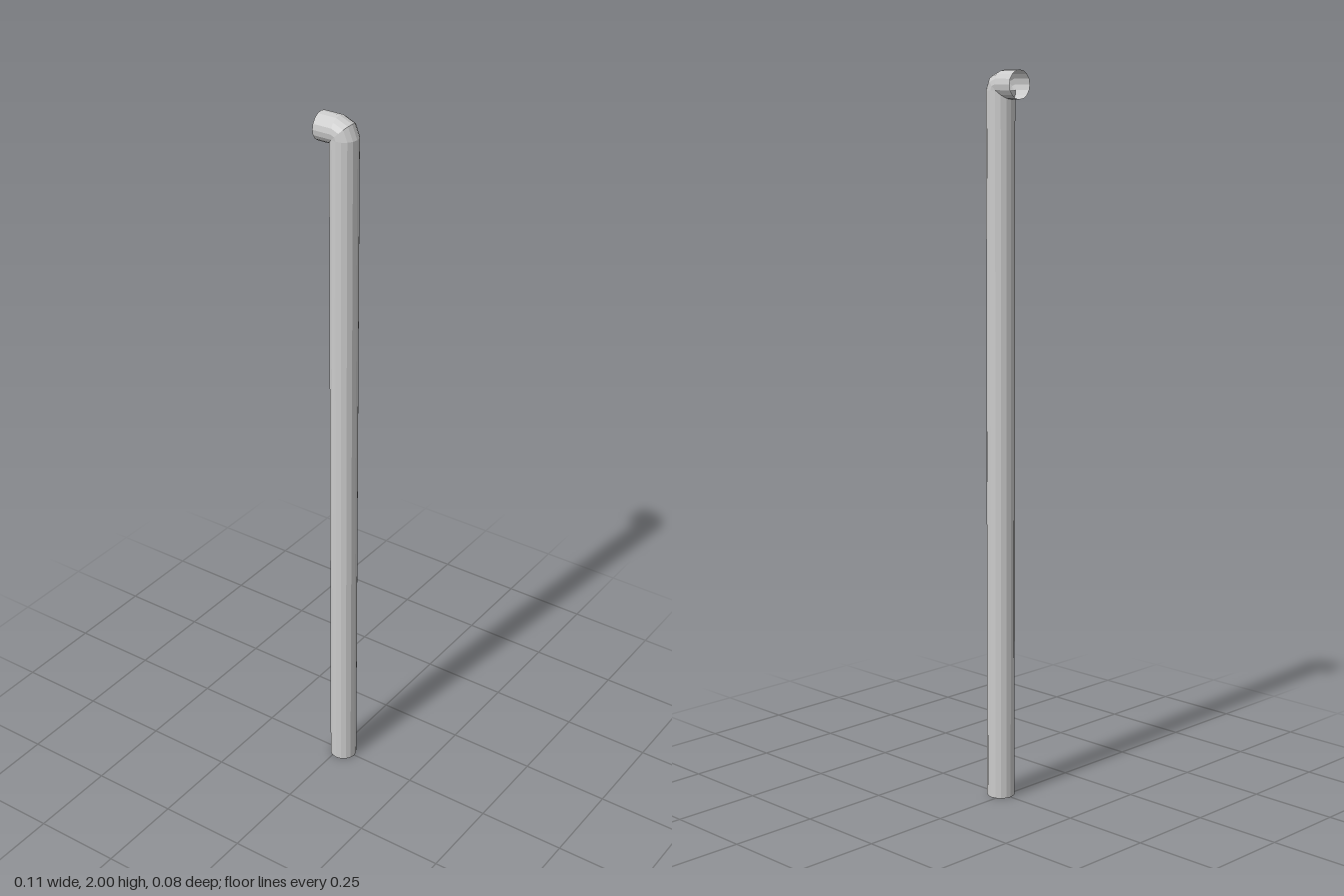
import * as THREE from 'three';

const SIDES = 16;
const R = 0.0385;      // pipe radius
const BEND = 0.015;    // bend radius of the elbow's centre line
const TOP = 2 - R - BEND; // height where the bend begins

export function createModel() {
  const group = new THREE.Group();
  group.name = 'bentPipe';
  const material = new THREE.MeshStandardMaterial({
    color: 0xcccccc, flatShading: true, side: THREE.DoubleSide,
  });
  const add = (name, geometry) => {
    const mesh = new THREE.Mesh(geometry, material);
    mesh.name = name;
    group.add(mesh);
    return mesh;
  };

  // long upright, open at the foot
  add('uprightPipe', new THREE.CylinderGeometry(R, R, TOP, SIDES, 1, true))
    .position.set(BEND, TOP / 2, 0);

  // quarter-turn elbow in two segments
  add('elbow', new THREE.TorusGeometry(BEND, R, SIDES, 2, Math.PI / 2))
    .position.set(0, TOP, 0);

  // short open outlet pointing to -x
  const outlet = add('outletPipe', new THREE.CylinderGeometry(R, R, 0.055, SIDES, 1, true));
  outlet.rotation.z = Math.PI / 2;
  outlet.position.set(-0.0275, TOP + BEND, 0);

  return group;
}
